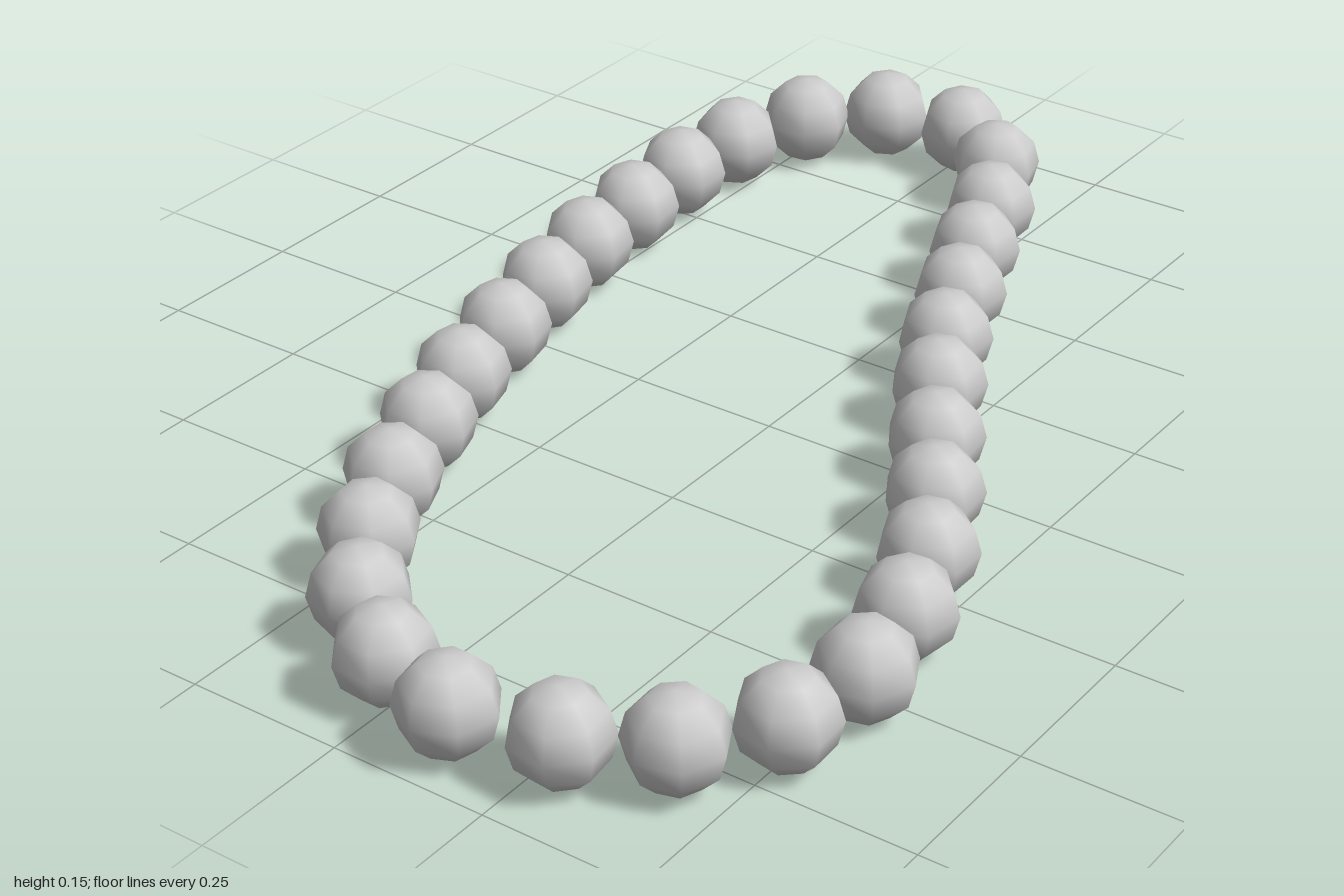
import * as THREE from 'three';

// Bead centres (x, z) around the loop
const CENTRES = [
  [-0.23, -0.925], [-0.11, -0.84], [-0.035, -0.7], [0.02, -0.56], [0.08, -0.42],
  [0.14, -0.28], [0.21, -0.15], [0.29, -0.015], [0.37, 0.115], [0.445, 0.25],
  [0.5, 0.39], [0.533, 0.54], [0.51, 0.69], [0.42, 0.81], [0.29, 0.885],
  [0.13, 0.918], [-0.015, 0.875], [-0.135, 0.785], [-0.228, 0.66], [-0.3, 0.525],
  [-0.356, 0.38], [-0.405, 0.24], [-0.445, 0.09], [-0.48, -0.06], [-0.51, -0.21],
  [-0.527, -0.36], [-0.538, -0.51], [-0.53, -0.66], [-0.48, -0.805], [-0.375, -0.905],
];
const RADIUS = 0.076;

export function createModel() {
  const group = new THREE.Group();
  group.name = 'beadNecklace';
  const material = new THREE.MeshStandardMaterial({ color: 0xcccccc });
  const beadGeometry = new THREE.SphereGeometry(RADIUS, 7, 6);
  const count = CENTRES.length;

  CENTRES.forEach(([x, z], i) => {
    const [px, pz] = CENTRES[(i + count - 1) % count];
    const [nx, nz] = CENTRES[(i + 1) % count];
    const bead = new THREE.Mesh(beadGeometry, material);
    bead.name = `bead${i + 1}`;
    bead.position.set(x, RADIUS, z);
    // Turn each bead so that one corner points out of the loop
    const outX = nz - pz, outZ = px - nx;
    bead.rotation.y = Math.PI - Math.atan2(outZ, outX);
    group.add(bead);
  });
  return group;
}
